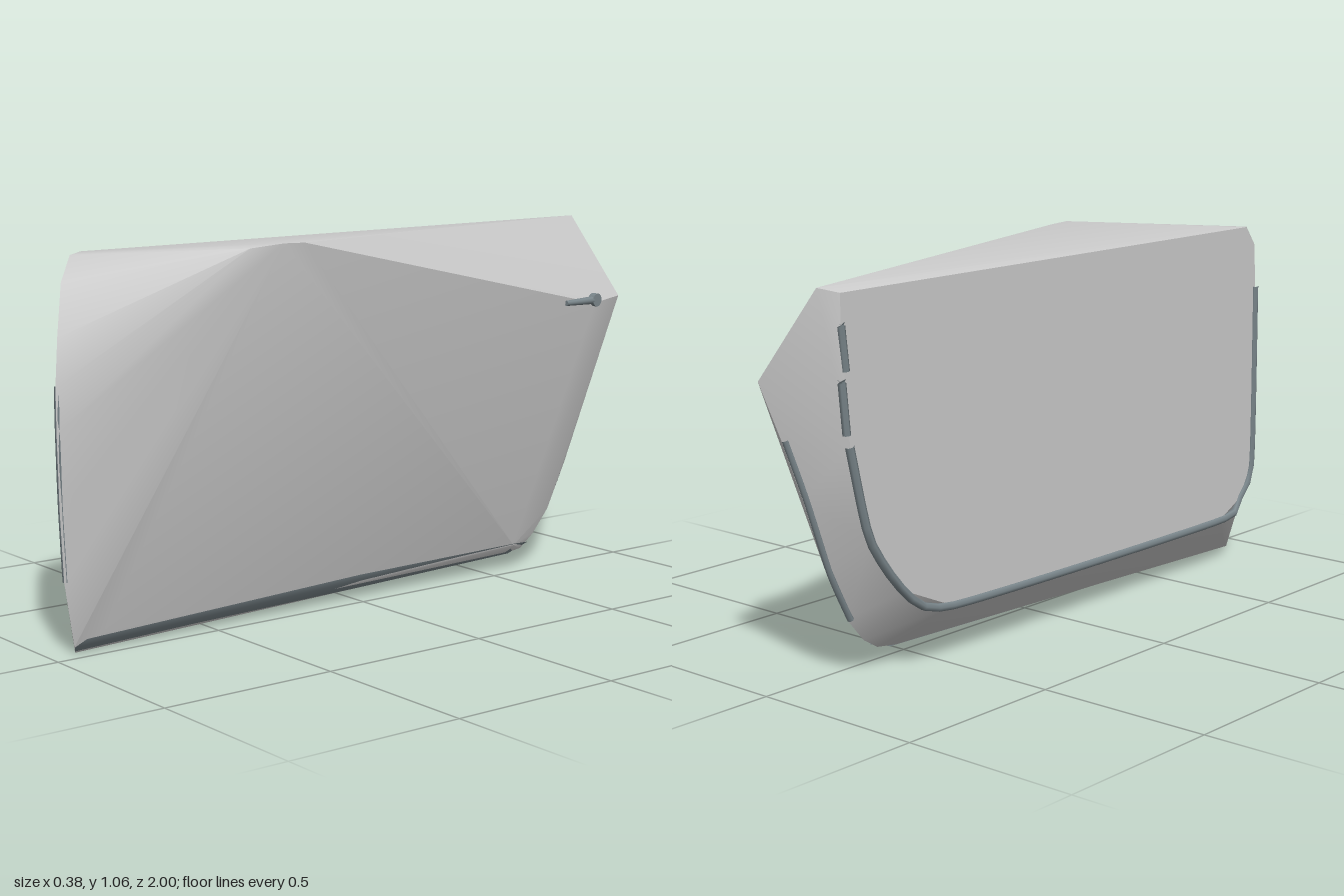
import * as THREE from 'three';
import { ConvexGeometry } from 'three/addons/geometries/ConvexGeometry.js';
import { toCreasedNormals } from 'three/addons/utils/BufferGeometryUtils.js';

const V = (p) => new THREE.Vector3(...p);

export function createModel() {
  const group = new THREE.Group();
  const grey = new THREE.MeshStandardMaterial({ color: 0xcccccc });
  const dark = new THREE.MeshStandardMaterial({ color: 0x7b878c });

  const add = (name, geometry, material) => {
    const mesh = new THREE.Mesh(geometry, material);
    mesh.name = name;
    group.add(mesh);
    return mesh;
  };
  const hull = (points, crease = 0.5) => toCreasedNormals(new ConvexGeometry(points.map(V)), crease);
  const tube = (points, radius, tension = 0.4) => new THREE.TubeGeometry(
    new THREE.CatmullRomCurve3(points.map(V), false, 'catmullrom', tension), points.length * 6, radius, 6);

  // Edges of the outer skin, as x, y, z
  const frontEdge = [
    [-0.05, 0, 0.92], [-0.035, 0.02, 0.93], [-0.02, 0.2, 0.965], [0, 0.4, 0.985], [0.02, 0.6, 1],
    [0.02, 0.72, 1], [0, 0.84, 0.98], [-0.07, 0.97, 0.925], [-0.15, 1.03, 0.85],
  ];
  const rearEdge = [
    [-0.15, 1.05, -0.94], [0, 0.81, -1], [-0.03, 0.66, -0.955], [-0.05, 0.5, -0.905], [-0.06, 0.3, -0.84],
    [-0.06, 0.16, -0.77], [-0.06, 0.09, -0.71], [-0.05, 0.055, -0.65], [-0.05, 0.045, -0.58],
  ];
  // Bulge of the skin: shoulder peak, rear shoulder and sill fold
  const bulge = [
    [0.185, 1.058, 0.34], [0.19, 1.06, 0.41], [0.165, 1.05, 0.5],
    [0.04, 0.8, -0.86], [-0.022, 0.05, 0.85], [-0.025, 0.075, -0.6],
  ];
  // Flat inner face, as z, y
  const inner = [
    [0.8, 1.035], [0.85, 0.98], [0.86, 0.85], [0.86, 0.3], [0.8, 0.2], [0.7, 0.15], [-0.5, 0.16],
    [-0.68, 0.24], [-0.8, 0.4], [-0.865, 0.65], [-0.89, 0.96], [-0.89, 1.035],
  ];
  add('doorBody', hull([...frontEdge, ...rearEdge, ...bulge, ...inner.map(([z, y]) => [-0.18, y, z])]), grey);

  // Folded lip under the skin
  add('bottomLip', hull([
    [-0.05, 0.001, 0.921], [-0.032, 0.02, 0.93], [-0.021, 0.04, 0.9], [-0.018, 0.075, 0],
    [-0.023, 0.08, -0.6], [-0.05, 0.07, -0.68], [-0.05, 0.045, -0.6],
  ]), dark);
  add('frontLip', tube(frontEdge.slice(2, 6).map(([x, y, z]) => [x - 0.006, y, z - 0.008]), 0.008), dark);
  add('rearLip', tube(rearEdge.slice(2, 6).map(([x, y, z]) => [x - 0.008, y, z + 0.006]), 0.009), dark);

  // Rubber seal around the inner face
  const sealPath = inner.slice(2, 10).map(([z, y]) => [-0.178, y, z]);
  add('innerSeal', tube(sealPath, 0.012, 0.3), dark);
  for (const [from, to] of [[0.96, 0.84], [0.82, 0.68]]) {
    add('rearSealPiece', tube([[-0.178, from, -0.888], [-0.178, to, -0.874]], 0.011), dark);
  }

  // Slim door handle with a round lock at its rear end
  const handle = new THREE.Group();
  handle.name = 'doorHandle';
  const grip = new THREE.Mesh(new THREE.CylinderGeometry(0.012, 0.008, 0.12, 8), dark);
  grip.name = 'handleGrip';
  grip.rotation.x = -Math.PI / 2;
  grip.position.z = 0.035;
  const lock = new THREE.Mesh(new THREE.CylinderGeometry(0.02, 0.02, 0.02, 12), dark);
  lock.name = 'handleLock';
  lock.rotation.z = Math.PI / 2;
  lock.position.z = -0.04;
  handle.add(grip, lock);
  handle.rotation.y = 0.12;
  handle.position.set(0.046, 0.81, -0.82);
  group.add(handle);

  return group;
}
